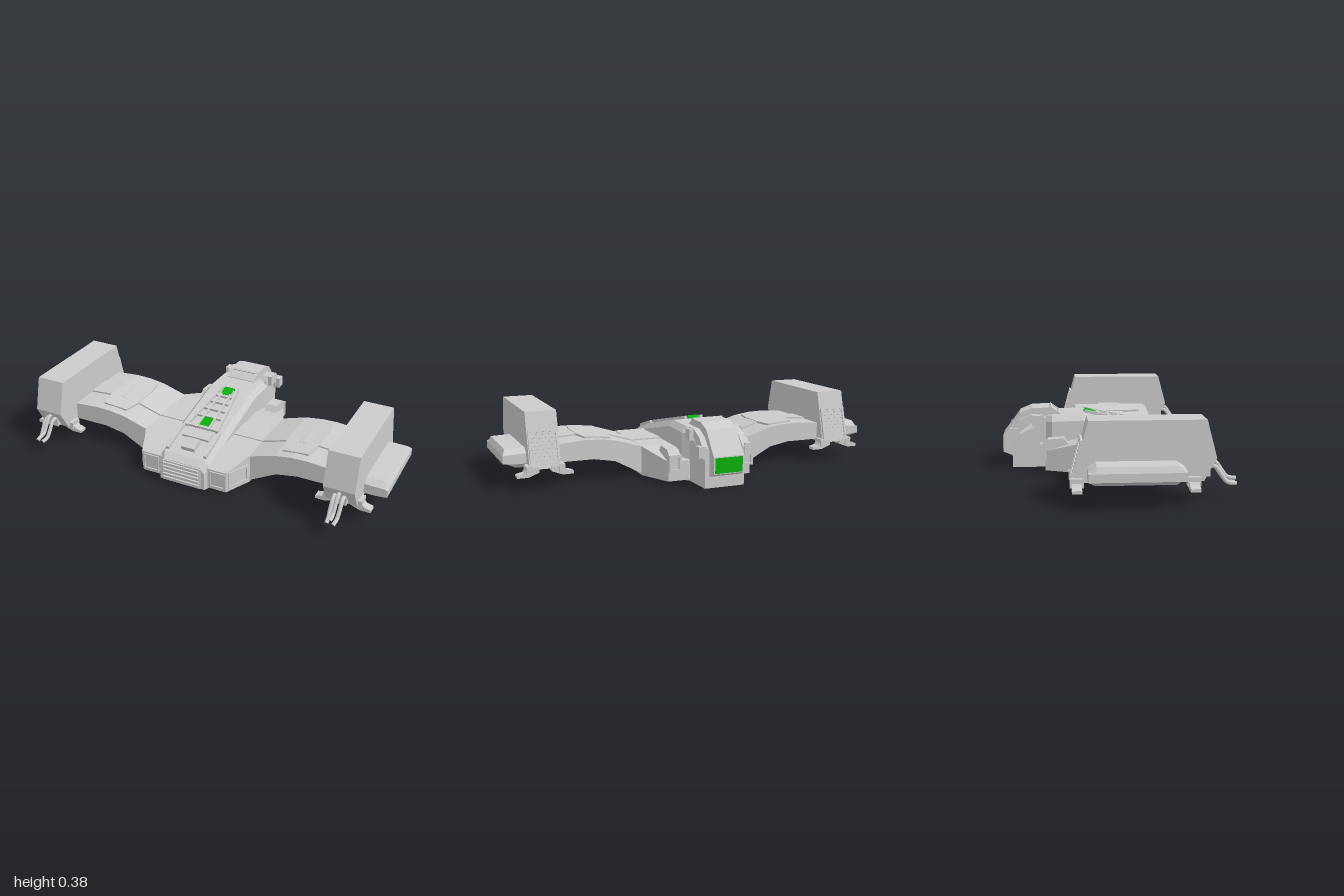
import * as THREE from 'three';

const grey = new THREE.MeshStandardMaterial({ color: 0xcccccc, flatShading: true });
const smooth = new THREE.MeshStandardMaterial({ color: 0xcccccc });
const green = new THREE.MeshStandardMaterial({ color: 0x0bb00f, flatShading: true });

export function createModel() {
  const model = new THREE.Group();
  const add = (name, geo, mat = grey, parent = model) => {
    const m = new THREE.Mesh(geo, mat);
    m.name = name;
    parent.add(m);
    return m;
  };
  const box = (name, w, h, d, x, y, z, mat = grey, parent = model) => {
    const m = add(name, new THREE.BoxGeometry(w, h, d), mat, parent);
    m.position.set(x, y, z);
    return m;
  };
  const shapeOf = pts => new THREE.Shape(pts.map(p => new THREE.Vector2(p[0], p[1])));
  const extrude = (shape, depth) =>
    new THREE.ExtrudeGeometry(shape, { depth, bevelEnabled: false }).translate(0, 0, -depth / 2);
  // side profile [z, y] extruded across x
  const across = (pts, width, x = 0) => extrude(shapeOf(pts), width).rotateY(-Math.PI / 2).translate(x, 0, 0);
  // front profile [x, y] extruded along z, s mirrors it
  const along = (pts, z0, z1, s = 1) =>
    extrude(shapeOf(pts.map(([x, y]) => [x * s, y])), z1 - z0).translate(0, 0, (z0 + z1) / 2);
  // rectangular frame with an open middle, facing +z
  const frame = (w, h, t, depth) => {
    const rect = (a, b) => [[-a, -b], [a, -b], [a, b], [-a, b]];
    const s = shapeOf(rect(w / 2, h / 2));
    s.holes.push(shapeOf(rect(w / 2 - t, h / 2 - t)));
    return extrude(s, depth);
  };
  // skin over counter-clockwise [x, y] loops placed at rising z
  const loft = (sections, s = 1) => {
    const rings = sections.map(([z, loop]) => {
      const r = loop.map(([x, y]) => [x * s, y, z]);
      return s < 0 ? r.reverse() : r;
    });
    const v = [], n = rings[0].length, last = rings.length - 1;
    for (let i = 0; i < last; i++) for (let j = 0; j < n; j++) {
      const k = (j + 1) % n, a = rings[i][j], b = rings[i][k], c = rings[i + 1][k], d = rings[i + 1][j];
      v.push(...a, ...b, ...c, ...a, ...c, ...d);
    }
    for (let j = 1; j < n - 1; j++) {
      v.push(...rings[0][0], ...rings[0][j + 1], ...rings[0][j]);
      v.push(...rings[last][0], ...rings[last][j], ...rings[last][j + 1]);
    }
    const g = new THREE.BufferGeometry();
    g.setAttribute('position', new THREE.Float32BufferAttribute(v, 3));
    g.computeVertexNormals();
    return g;
  };

  // lower hull, tapering at both ends
  const hullLoop = (w, y) => [[-w, 0.01], [w, 0.01], [w, y], [-w, y]];
  add('lowerHull', loft([
    [-0.315, hullLoop(0.225, 0.11)], [-0.14, hullLoop(0.3, 0.16)],
    [0.285, hullLoop(0.3, 0.165)], [0.425, hullLoop(0.235, 0.12)],
  ]));
  // central spine, rising from the nose to the engine
  const spineLoop = (w, y) => [[-w, 0.003], [w, 0.003], [w, y - 0.03], [w - 0.025, y], [-w + 0.025, y], [-w, y - 0.03]];
  add('spine', loft([
    [-0.485, spineLoop(0.105, 0.19)], [-0.31, spineLoop(0.11, 0.27)], [-0.28, spineLoop(0.14, 0.275)],
    [-0.12, spineLoop(0.14, 0.28)], [0.22, spineLoop(0.14, 0.205)],
    [0.41, spineLoop(0.14, 0.15)], [0.445, spineLoop(0.125, 0.125)],
  ]));
  box('bellyPanel', 0.28, 0.004, 0.42, 0, 0.002, 0.08, green);

  // nose grille
  box('noseFrame', 0.21, 0.115, 0.012, 0, 0.065, 0.448);
  for (let i = 0; i < 5; i++) box('noseLouver', 0.2, 0.012, 0.014, 0, 0.025 + i * 0.021, 0.457);

  // canopy ladder lying on the spine slope
  const canopy = new THREE.Group();
  canopy.name = 'canopy';
  canopy.position.set(0, 0.243, 0.05);
  canopy.rotation.x = Math.atan2(0.075, 0.34);
  model.add(canopy);
  const halfAt = z => 0.045 + (z + 0.16) * 0.125;
  for (const s of [-1, 1]) {
    const rail = box('canopyRail', 0.014, 0.024, 0.35, s * halfAt(0.01), 0.004, 0.01, grey, canopy);
    rail.rotation.y = s * Math.atan(0.125);
    const inner = box('canopyInnerRail', 0.01, 0.018, 0.33, s * 0.03, 0.004, 0.015, grey, canopy);
    inner.rotation.y = s * 0.04;
  }
  for (const z of [-0.09, -0.035, 0.025, 0.085, 0.17])
    box('canopyRung', 2 * halfAt(z), 0.018, 0.014, 0, 0.004, z, grey, canopy);
  add('upperWindow', across([[-0.165, 0], [-0.1, 0], [-0.1, 0.012], [-0.155, 0.018]], 0.055), green, canopy);
  box('lowerWindow', 0.045, 0.016, 0.07, 0, 0.005, 0.13, green, canopy);
  // ribs and block on the nose slope
  const nose = new THREE.Group();
  nose.name = 'noseDeck';
  nose.position.set(0, 0.18, 0.315);
  nose.rotation.x = Math.atan2(0.055, 0.19);
  model.add(nose);
  box('noseBlock', 0.075, 0.026, 0.07, 0, 0.008, 0.03, grey, nose);
  box('noseStep', 0.15, 0.014, 0.05, 0, 0.004, -0.045, grey, nose);
  for (const s of [-1, 1]) box('noseRail', 0.016, 0.02, 0.17, s * 0.105, 0.004, 0, grey, nose);

  // rear engine cowl with intake and exhaust
  add('engineCowl', across([
    [-0.24, 0.275], [-0.29, 0.31], [-0.38, 0.31], [-0.445, 0.283], [-0.495, 0.215],
    [-0.533, 0.165], [-0.533, 0.08], [-0.485, 0.06], [-0.25, 0.06],
  ], 0.16));
  const intake = add('intakeFrame', frame(0.16, 0.062, 0.01, 0.01));
  intake.position.set(0, 0.294, -0.264);
  intake.rotation.x = -Math.atan2(0.05, 0.035);
  box('exhaust', 0.145, 0.076, 0.004, 0, 0.122, -0.533, green);

  // swept pod gun barrel path, in [x, y, z]
  const barrel = (x, dx, lift) => new THREE.TubeGeometry(new THREE.CatmullRomCurve3([
    [x + dx, 0.165 + lift, 0.39], [x + dx, 0.155 + lift, 0.435], [x + dx, 0.115 + lift, 0.465],
    [x + dx * 0.9, 0.085 + lift, 0.49], [x + dx * 0.7, 0.077 + lift, 0.53],
  ].map(p => new THREE.Vector3(...p))), 18, 0.01, 8);

  for (const s of [-1, 1]) {
    // engine side arms
    add('engineArm', across([
      [-0.31, 0.255], [-0.33, 0.28], [-0.385, 0.28], [-0.45, 0.25], [-0.495, 0.2], [-0.495, 0.15],
      [-0.455, 0.15], [-0.445, 0.19], [-0.39, 0.235], [-0.31, 0.22],
    ], 0.03, s * 0.105));
    for (const [y, z] of [[0.25, -0.36], [0.185, -0.475]])
      box('armKnuckle', 0.04, 0.055, 0.045, s * 0.122, y, z);

    // rear side nacelle
    add('rearNacelle', across([
      [-0.33, 0.06], [-0.19, 0.06], [-0.19, 0.135], [-0.22, 0.175], [-0.3, 0.17], [-0.33, 0.145],
    ], 0.06, s * 0.197));
    const rim = add('nacelleRim', frame(0.066, 0.085, 0.012, 0.014));
    rim.position.set(s * 0.197, 0.103, -0.333);

    // hull front and cheek panels
    const front = add('frontPanel', frame(0.09, 0.09, 0.01, 0.012));
    front.position.set(s * 0.188, 0.067, 0.426);
    const cheek = add('cheekPanel', frame(0.13, 0.09, 0.012, 0.012));
    cheek.position.set(s * 0.268, 0.073, 0.355);
    cheek.rotation.y = s * Math.atan2(0.14, 0.065);

    // arched wing, its centre strip and raised panel
    const top = [[0.74, 0.205], [0.6, 0.215], [0.52, 0.213], [0.43, 0.2], [0.3, 0.16], [0.1, 0.16]];
    add('wing', along([[0.1, 0.012], [0.3, 0.02], [0.44, 0.095], [0.55, 0.115], [0.74, 0.115], ...top], -0.135, 0.285, s));
    const lifted = top.map(([x, y]) => [x, y + 0.008]);
    add('wingStrip', along([[0.1, 0.13], [0.3, 0.13], [0.43, 0.17], [0.74, 0.17], ...lifted], 0.005, 0.135, s));
    const hex = extrude(shapeOf([[-0.068, -0.165], [0.068, -0.165], [0.085, -0.07], [0.085, 0.07],
      [0.068, 0.165], [-0.068, 0.165], [-0.085, 0.07], [-0.085, -0.07]]), 0.02).rotateX(-Math.PI / 2);
    const panel = add('wingPanel', hex);
    panel.position.set(s * 0.518, 0.209, 0.07);
    panel.rotation.z = s * 0.08;

    // wing-tip pod
    const px = s * 0.81;
    add('pod', across([
      [0.385, 0.375], [-0.13, 0.375], [-0.2, 0.105], [0.375, 0.105], [0.43, 0.205],
    ], 0.154, px));
    const tilt = Math.atan2(0.07, 0.27);
    const vent = new THREE.Group();
    vent.name = 'podVent';
    vent.position.set(px, 0.2, -0.176);
    vent.rotation.x = tilt;
    model.add(vent);
    add('ventFrame', frame(0.145, 0.18, 0.01, 0.02), grey, vent);
    for (let i = 0; i < 9; i++) box('ventSlat', 0.13, 0.007, 0.018, 0, -0.072 + i * 0.018, 0, grey, vent);

    // outer tip fin
    const finLoop = (yb, yt) => [[0.885, yb], [0.93, yb], [1, 0.13], [1, 0.168], [0.985, yt], [0.885, yt + 0.003]];
    add('tipFin', loft([
      [-0.135, finLoop(0.125, 0.172)], [-0.1, finLoop(0.1, 0.195)],
      [0.25, finLoop(0.1, 0.195)], [0.285, finLoop(0.125, 0.172)],
    ], s));

    // splayed feet under the pod
    for (const z of [0.33, -0.18]) for (const d of [-1, 1]) {
      const foot = [[0.03, 0.12], [0.03, 0.09], [0.085, 0.07], [0.138, 0.07], [0.138, 0.084], [0.105, 0.092], [0.075, 0.13]];
      add('foot', along(foot.map(([x, y]) => [0.81 + d * x, y]), z - 0.022, z + 0.022, s));
      box('footCuff', 0.03, 0.04, 0.06, px + d * 0.08, 0.105, z);
    }

    // triple curved gun
    for (const [dx, lift] of [[-0.022, 0], [0.022, 0], [0, 0.02]]) add('gunBarrel', barrel(px, dx, lift), smooth);
    box('gunMount', 0.07, 0.07, 0.05, px, 0.15, 0.385);
  }
  return model;
}
